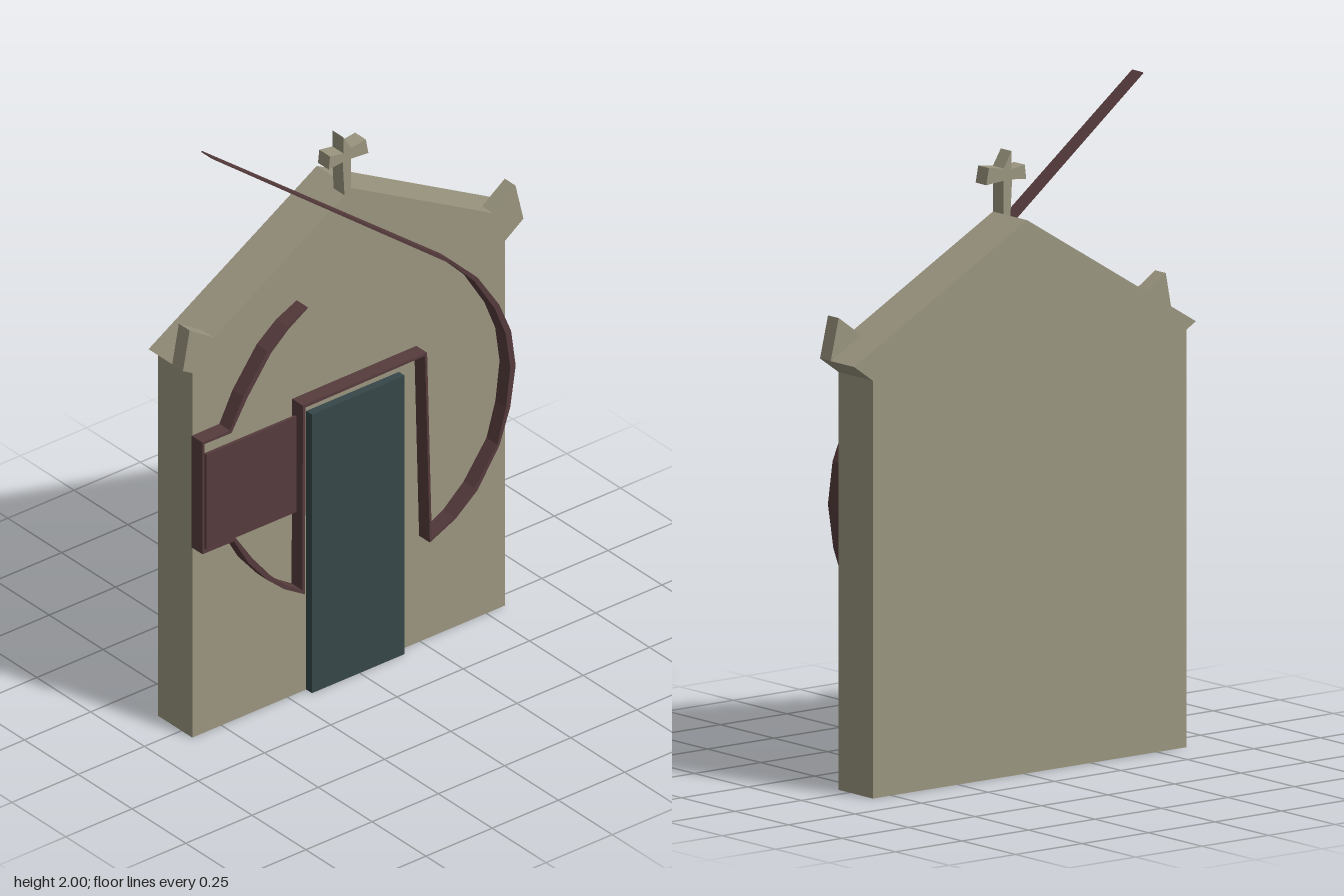
import * as THREE from 'three';

const mat = (name, color) => {
  const m = new THREE.MeshStandardMaterial({ color });
  m.name = name;
  return m;
};

// Prism from a front outline between two depths
function prism(name, points, z0, z1, material) {
  const shape = new THREE.Shape(points.map(([x, y]) => new THREE.Vector2(x, y)));
  const geo = new THREE.ExtrudeGeometry(shape, { depth: z1 - z0, bevelEnabled: false });
  geo.translate(0, 0, z0);
  const mesh = new THREE.Mesh(geo, material);
  mesh.name = name;
  return mesh;
}

const rect = (x0, y0, x1, y1) => [[x0, y0], [x1, y0], [x1, y1], [x0, y1]];

// Outline of a mitred stroke; each path point is [x, y, halfWidth]
function strokeOutline(path) {
  const p = path.map(([x, y]) => new THREE.Vector2(x, y));
  const left = [], right = [];
  path.forEach(([x, y, w], i) => {
    const a = p[Math.max(i - 1, 0)], b = p[i], c = p[Math.min(i + 1, p.length - 1)];
    const d1 = (i > 0 ? b.clone().sub(a) : c.clone().sub(b)).normalize();
    const d2 = (i < p.length - 1 ? c.clone().sub(b) : d1.clone()).normalize();
    const t = d1.clone().add(d2).normalize();
    const k = w / Math.max(t.dot(d1), 0.4);
    left.push([x - t.y * k, y + t.x * k]);
    right.unshift([x + t.y * k, y - t.x * k]);
  });
  return left.concat(right);
}

export function createModel() {
  const stone = mat('stone', 0x9a957f);
  const maroon = mat('maroon', 0x563b3c);
  const slate = mat('slate', 0x364648);

  const group = new THREE.Group();
  group.name = 'chapelFacade';

  // Wall and overhanging gable
  group.add(prism('wall', rect(-0.61, 0, 0.57, 1.25), -0.11, 0.05, stone));
  group.add(prism('gable', [[-0.61, 1.25], [0.57, 1.25], [0.64, 1.3], [-0.01, 1.655], [-0.645, 1.27]],
    -0.11, 0.05, stone));

  // Eave finials
  group.add(prism('rightFinial', [[-0.52, 1.335], [-0.62, 1.4], [-0.645, 1.27]], 0, 0.05, stone));
  group.add(prism('leftFinial', [[0.52, 1.36], [0.64, 1.3], [0.61, 1.425]], 0, 0.05, stone));

  // Rooftop cross
  group.add(prism('cross', [
    [-0.035, 1.63], [-0.01, 1.64], [-0.01, 1.755], [0.055, 1.75], [0.045, 1.8], [-0.01, 1.792],
    [-0.04, 1.84], [-0.04, 1.785], [-0.09, 1.793], [-0.095, 1.75], [-0.042, 1.755],
  ], 0, 0.05, stone));

  // Door
  group.add(prism('door', rect(-0.18, 0, 0.17, 0.955), 0.05, 0.077, slate));

  // Raised trim: tapering spike, round arc, door surround and side bracket
  group.add(prism('trim', strokeOutline([
    [-0.575, 1.997, 0.002], [0.325, 1.296, 0.005], [0.42, 1.2, 0.007], [0.5, 1.075, 0.009],
    [0.543, 0.97, 0.01], [0.56, 0.847, 0.01], [0.542, 0.715, 0.008], [0.505, 0.6, 0.005],
    [0.42, 0.48, 0.008], [0.34, 0.413, 0.006], [0.25, 0.37, 0.004],
    [0.232, 1.015, 0.004], [-0.228, 1.012, 0.005], [-0.23, 0.376, 0.005],
    [-0.3, 0.42, 0.006], [-0.36, 0.475, 0.008], [-0.43, 0.56, 0.009], [-0.49, 0.657, 0.005],
    [-0.608, 0.657, 0.004], [-0.608, 1.032, 0.004], [-0.505, 1.032, 0.005],
    [-0.45, 1.13, 0.009], [-0.36, 1.25, 0.009], [-0.29, 1.307, 0.007], [-0.215, 1.347, 0.002],
  ]), 0.05, 0.1, maroon));

  // Sign plate in front of the bracket
  group.add(prism('signPlate', rect(-0.605, 0.67, -0.265, 0.997), 0.1, 0.11, maroon));

  return group;
}
